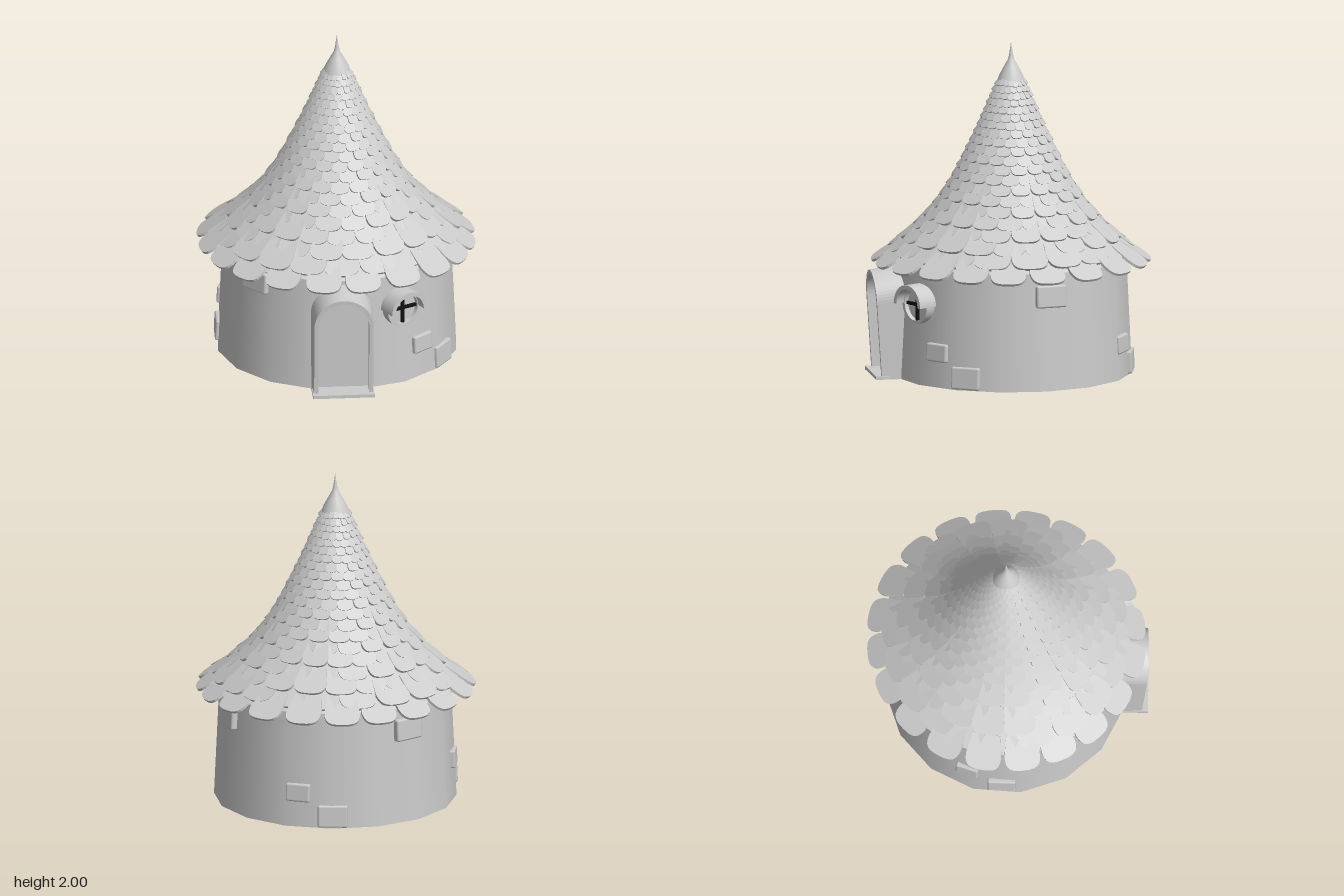
import * as THREE from 'three';
import { mergeGeometries } from 'three/addons/utils/BufferGeometryUtils.js';
import { RoundedBoxGeometry } from 'three/addons/geometries/RoundedBoxGeometry.js';

const grey = new THREE.MeshStandardMaterial({ color: 0xcccccc });
const greyDouble = new THREE.MeshStandardMaterial({ color: 0xcccccc, side: THREE.DoubleSide });
const dark = new THREE.MeshStandardMaterial({ color: 0x111111 });

function add(parent, name, geometry, material = grey) {
  const mesh = new THREE.Mesh(geometry, material);
  mesh.name = name;
  parent.add(mesh);
  return mesh;
}

function group(parent, name, angle = 0) {
  const g = new THREE.Group();
  g.name = name;
  g.rotation.y = angle;
  parent.add(g);
  return g;
}

// Roof outline as [height, radius]
const PROFILE = [
  [0.68, 0.83], [0.74, 0.745], [0.8, 0.675], [0.9, 0.565], [1, 0.475], [1.1, 0.405], [1.2, 0.345],
  [1.3, 0.295], [1.4, 0.247], [1.5, 0.2], [1.6, 0.157], [1.7, 0.115], [1.8, 0.073], [1.9, 0.02],
];
function roofRadius(y) {
  let i = 0;
  while (i < PROFILE.length - 2 && PROFILE[i + 1][0] < y) i++;
  const [y0, r0] = PROFILE[i], [y1, r1] = PROFILE[i + 1];
  return r0 + ((r1 - r0) * (y - y0)) / (y1 - y0);
}

// One row of rounded tongue tiles
function shingleRow(row, rows) {
  const tipY = (i) => 0.68 + 1.1 * (1.35 * (i / rows) - 0.35 * (i / rows) ** 2);
  const y = tipY(row), step = tipY(row + 1) - y, count = 20;
  const r = roofRadius(y) + 0.006;
  const topY = y + step * 1.8, topR = roofRadius(topY) - 0.018;
  const length = Math.hypot(topY - y, r - topR);
  const w = r * (row === 0 ? 0.128 : 0.15), wTop = (w * topR) / r;
  const corner = Math.min(w * 0.85, length * 0.6);

  const tongue = new THREE.Shape();
  tongue.moveTo(-wTop, length);
  tongue.lineTo(-w, corner);
  tongue.bezierCurveTo(-w, corner * 0.2, -w * 0.75, 0, 0, 0);
  tongue.bezierCurveTo(w * 0.75, 0, w, corner * 0.2, w, corner);
  tongue.lineTo(wTop, length);
  const thick = 0.006 + 0.01 * Math.min(1, r / 0.5);
  const tile = new THREE.ExtrudeGeometry(tongue, { depth: thick, bevelEnabled: false, curveSegments: 6 });
  tile.translate(0, 0, -thick);
  tile.rotateX(-Math.atan2(r - topR, topY - y));

  const tiles = [];
  for (let i = 0; i < count; i++) {
    const wobble = Math.sin(i * 7.3 + row * 3.1);
    const t = tile.clone();
    t.translate(0, y + 0.004 * wobble, r + 0.006 * r * wobble);
    t.rotateY(((i + (row % 2) / 2 + 0.06 * wobble) / count) * Math.PI * 2);
    tiles.push(t);
  }
  return mergeGeometries(tiles);
}

function archShape(halfWidth, top) {
  const s = new THREE.Shape();
  s.moveTo(-halfWidth, 0);
  s.lineTo(halfWidth, 0);
  s.lineTo(halfWidth, top - halfWidth);
  s.absarc(0, top - halfWidth, halfWidth, 0, Math.PI, false);
  s.lineTo(-halfWidth, 0);
  return s;
}

function ringSector(outer, inner, depth, end) {
  const s = new THREE.Shape();
  s.absarc(0, 0, outer, 0, end, false);
  if (end < 6) {
    s.absarc(0, 0, inner, end, 0, true);
  } else {
    s.holes.push(new THREE.Path().absarc(0, 0, inner, 0, end, true));
  }
  return new THREE.ExtrudeGeometry(s, { depth, bevelEnabled: false, curveSegments: 24 });
}

function buildDoor(parent) {
  const door = group(parent, 'doorway', -0.125);
  const back = 0.6, front = 0.812;

  // Arched porch: leans forward and flares toward the wall
  const arch = archShape(0.177, 0.635);
  const hole = new THREE.Path(archShape(0.152, 0.61).getPoints(16));
  arch.holes.push(hole);
  const frame = new THREE.ExtrudeGeometry(arch, { depth: front - back, bevelEnabled: false, curveSegments: 16 });
  const p = frame.attributes.position;
  for (let i = 0; i < p.count; i++) {
    const k = 1 - p.getZ(i) / (front - back);
    const y = p.getY(i);
    p.setXYZ(i, p.getX(i) * (1 + 0.06 * k), y * (1 + 0.07 * k), p.getZ(i) + back + 0.065 * y * (1 - k));
  }
  frame.computeVertexNormals();
  add(door, 'doorFrame', frame).position.x = -0.025;

  const panel = new THREE.ExtrudeGeometry(archShape(0.158, 0.63), { depth: 0.1, bevelEnabled: false, curveSegments: 16 });
  add(door, 'doorPanel', panel).position.set(-0.025, 0, 0.62);

  add(door, 'doorStep', new THREE.BoxGeometry(0.37, 0.02, 0.25)).position.set(-0.025, 0.01, 0.725);
}

function buildWindow(parent) {
  const win = group(parent, 'roundWindow', 0.37);
  const y = 0.485;
  add(win, 'windowRing', ringSector(0.115, 0.095, 0.14, Math.PI * 2)).position.set(0, y, 0.6);
  add(win, 'windowHood', ringSector(0.125, 0.1, 0.2, Math.PI)).position.set(0, y, 0.6);
  add(win, 'windowPane', new THREE.CircleGeometry(0.1, 32)).position.set(0, y, 0.712);
  add(win, 'windowBarUpright', new THREE.BoxGeometry(0.018, 0.19, 0.02), dark).position.set(0, y, 0.718);
  add(win, 'windowBarCross', new THREE.BoxGeometry(0.19, 0.018, 0.02), dark).position.set(0, y, 0.718);
}

export function createModel() {
  const model = new THREE.Group();
  model.name = 'roundHut';
  const hut = group(model, 'hut');
  hut.position.z = -0.012;

  // Tapered wall
  add(hut, 'wall', new THREE.CylinderGeometry(0.69, 0.725, 0.75, 16)).position.y = 0.375;

  // Roof shell under the tiles, then the spire on top
  const shell = [];
  for (let y = 0.72; y < 1.81; y += 0.06) shell.push(new THREE.Vector2(roofRadius(y) - 0.028, y));
  add(hut, 'roofShell', new THREE.LatheGeometry(shell, 40), greyDouble);
  const spire = [[0.086, 1.755], [0.07, 1.8], [0.043, 1.85], [0.02, 1.89], [0.012, 1.92], [0, 2]]
    .map(([r, y]) => new THREE.Vector2(r, y));
  add(hut, 'spire', new THREE.LatheGeometry(spire, 24), greyDouble);

  const tiles = group(hut, 'shingles');
  const rows = 21;
  for (let i = 0; i < rows; i++) add(tiles, 'shingleRow', shingleRow(i, rows));

  buildDoor(hut);
  buildWindow(hut);

  // Stones set in the wall: angle in degrees, height, width, tallness
  const stones = [
    [34, 0.21, 0.15, 0.11], [50, 0.072, 0.18, 0.135], [92.5, 0.57, 0.19, 0.135],
    [141, 0.21, 0.15, 0.11], [158, 0.072, 0.18, 0.135], [198, 0.57, 0.19, 0.135],
    [244, 0.25, 0.14, 0.11], [261, 0.115, 0.17, 0.13], [304, 0.615, 0.19, 0.13],
  ];
  for (const [angle, y, w, h] of stones) {
    const spot = group(hut, 'wallStone', THREE.MathUtils.degToRad(angle));
    const stone = add(spot, 'stone', new RoundedBoxGeometry(w, h, 0.09, 1, 0.012));
    stone.position.set(0, y, 0.69 - 0.035 * y);
    stone.rotation.x = -0.045;
  }
  return model;
}
